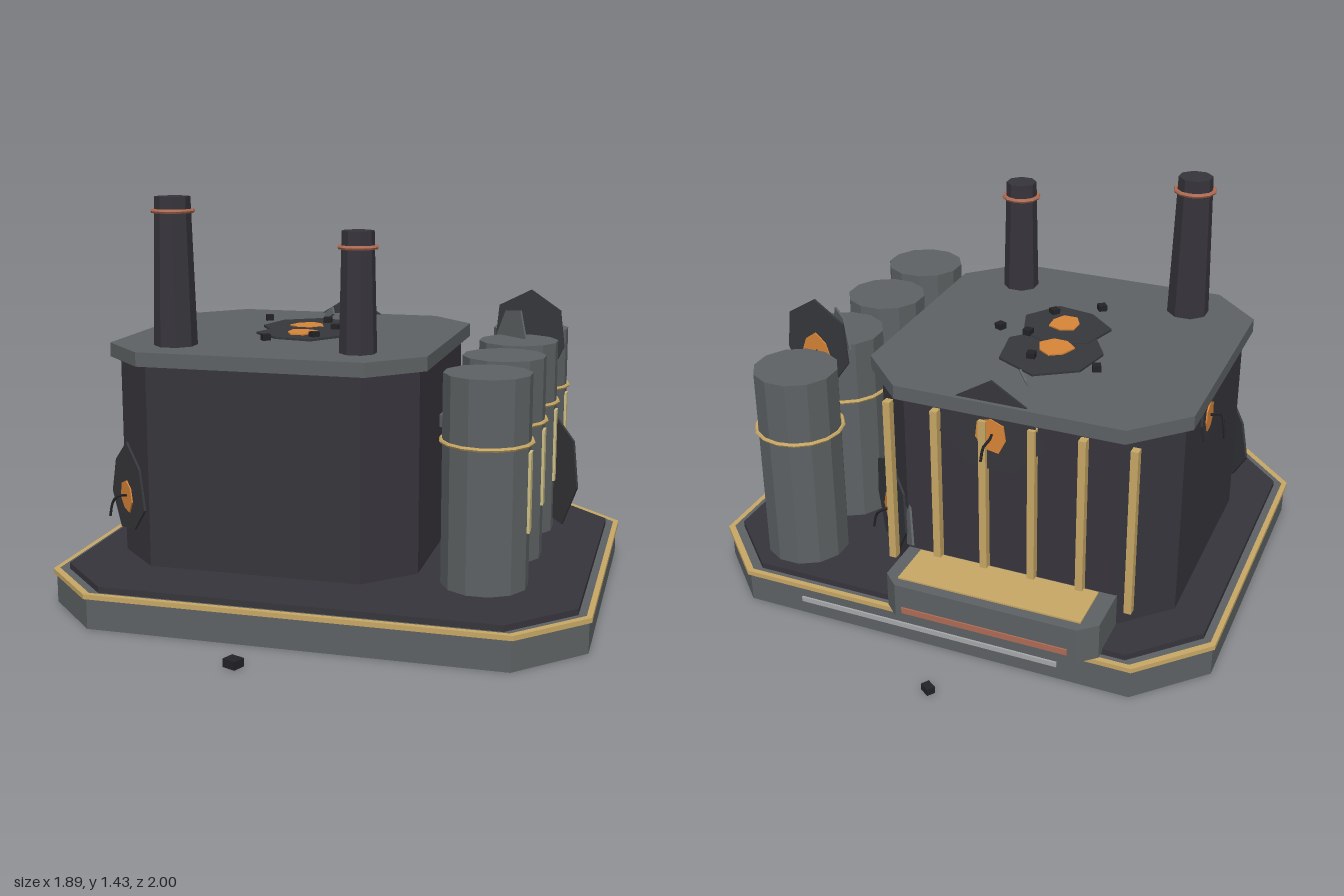
import * as THREE from 'three';

const mat = (name, color, extra = {}) => {
  const m = new THREE.MeshStandardMaterial({ color, ...extra });
  m.name = name;
  return m;
};

export function createModel() {
  const model = new THREE.Group();
  model.name = 'refinery';
  const flat = { flatShading: true };
  const steel = mat('steelGrey', 0x5d6264, flat);
  const dark = mat('darkPlating', 0x37353c, flat);
  const gold = mat('brassGold', 0xc8a865, flat);
  const copper = mat('copper', 0xb06c54, flat);
  const pale = mat('gaugeYellow', 0xcdbd84, flat);
  const light = mat('lightStrip', 0xa6a8aa, flat);
  const scorch = mat('scorchedMetal', 0x37383c, flat);
  const ember = mat('emberOrange', 0xd88538, flat);
  const black = mat('charredBlack', 0x232327, flat);

  const add = (name, geo, material, x = 0, y = 0, z = 0, parent = model) => {
    const m = new THREE.Mesh(geo, material);
    m.name = name;
    m.position.set(x, y, z);
    parent.add(m);
    return m;
  };
  const box = (name, material, w, h, d, x, y, z) => add(name, new THREE.BoxGeometry(w, h, d), material, x, y, z);

  // Upright prism over an outline of [x, z] points
  const outline = (pts) => pts.map(([x, z]) => new THREE.Vector2(x, -z));
  const prism = (name, material, pts, y0, y1, hole) => {
    const shape = new THREE.Shape(outline(pts));
    if (hole) shape.holes.push(new THREE.Path(outline(hole)));
    const geo = new THREE.ExtrudeGeometry(shape, { depth: y1 - y0, bevelEnabled: false });
    return add(name, geo.rotateX(-Math.PI / 2), material, 0, y0, 0);
  };
  // Rectangle with cut corners
  const octagon = (x0, x1, z0, z1, c) => [
    [x0 + c, z0], [x1 - c, z0], [x1, z0 + c], [x1, z1 - c],
    [x1 - c, z1], [x0 + c, z1], [x0, z1 - c], [x0, z0 + c],
  ];

  // Foundation
  prism('foundation', steel, octagon(-0.938, 0.938, -0.755, 0.79, 0.22), 0, 0.118);
  prism('foundationTrim', gold, octagon(-0.947, 0.947, -0.764, 0.799, 0.222), 0.108, 0.125,
    octagon(-0.928, 0.928, -0.745, 0.78, 0.216));
  prism('deck', dark, octagon(-0.9, 0.9, -0.72, 0.755, 0.21), 0.118, 0.14);
  box('rearLightStrip', light, 0.97, 0.018, 0.01, 0.02, 0.06, -0.757);

  // Main hall and roof
  prism('hallWalls', dark, octagon(-0.77, 0.325, -0.58, 0.505, 0.165), 0.14, 0.86);
  prism('roof', steel, octagon(-0.8, 0.355, -0.61, 0.535, 0.173), 0.86, 0.91);
  for (let i = 0; i < 6; i++) box('rearRib', gold, 0.026, 0.62, 0.03, 0.212 - i * 0.174, 0.53, -0.595);

  // Rear loading ledge
  prism('ledge', steel, [[-0.61, -0.55], [-0.61, -0.755], [-0.55, -0.808],
    [0.105, -0.808], [0.16, -0.755], [0.16, -0.55]], 0.13, 0.26);
  box('ledgeTop', gold, 0.66, 0.008, 0.18, -0.22, 0.262, -0.68);
  box('ledgeStripe', copper, 0.6, 0.022, 0.008, -0.22, 0.165, -0.809);

  // Chimneys with copper collars
  for (const [x, top, rt, rb, ringY] of [[-0.555, 1.43, 0.062, 0.077, 1.38], [0.11, 1.325, 0.056, 0.066, 1.27]]) {
    add('chimney', new THREE.CylinderGeometry(rt, rb, top - 0.9, 8).rotateY(Math.PI / 8), dark, x, (top + 0.9) / 2, 0.345);
    add('chimneyCollar', new THREE.TorusGeometry(rt + 0.008, 0.008, 6, 12).rotateX(Math.PI / 2), copper, x, ringY, 0.345);
  }

  // Storage tanks with band and gauge
  for (const z of [-0.57, -0.23, 0.115, 0.46]) {
    add('tank', new THREE.CylinderGeometry(0.147, 0.147, 0.715, 12).rotateY(Math.PI / 12), steel, 0.577, 0.5275, z);
    add('tankBand', new THREE.TorusGeometry(0.152, 0.007, 6, 16).rotateX(Math.PI / 2), gold, 0.577, 0.66, z);
    box('tankGauge', pale, 0.012, 0.27, 0.045, 0.722, 0.497, z + 0.012);
  }

  // Feed pipe between hall and tanks
  const pipe = box('feedPipe', steel, 0.22, 0.045, 0.075, 0.385, 0.61, -0.01);
  pipe.rotation.y = -0.62;

  // Irregular plate used for damage
  const blob = (r, squash, sides, seed, depth) => {
    const pts = [];
    for (let i = 0; i < sides; i++) {
      const a = (i / sides) * Math.PI * 2 + Math.PI / 2;
      const k = r * (0.92 + 0.09 * Math.sin(seed + i * 2.3));
      pts.push(new THREE.Vector2(Math.cos(a) * k * squash, Math.sin(a) * k));
    }
    return new THREE.ExtrudeGeometry(new THREE.Shape(pts), { depth, bevelEnabled: false });
  };
  const damage = (name, pos, angle, r, squash, core, seed, wire = true, up = false) => {
    const g = new THREE.Group();
    g.name = name;
    g.position.set(...pos);
    if (up) g.rotation.x = -Math.PI / 2;
    else g.rotation.y = angle;
    add('scorchPlate', blob(r, squash, 7, seed, 0.008), scorch, 0, 0, 0, g);
    add('emberCore', blob(core, 0.9, 7, seed + 2, 0.007), ember, 0, -0.02, 0.006, g);
    // Torn cable drooping out of the core
    if (wire) {
      const path = new THREE.CatmullRomCurve3([[0, -0.02, 0], [0.012, -0.015, 0.05], [-0.005, -0.04, 0.062], [-0.012, -0.09, 0.07]]
        .map((p) => new THREE.Vector3(...p)));
      add('tornCable', new THREE.TubeGeometry(path, 8, 0.005, 5), black, 0, 0, 0, g);
    }
    model.add(g);
  };
  damage('roofDamageRear', [-0.22, 0.911, -0.175], 0, 0.2, 1, 0.075, 1.2, false, true);
  damage('roofDamageFront', [-0.185, 0.914, 0.02], 0, 0.185, 0.95, 0.068, 4, false, true);
  damage('frontCornerDamage', [-0.715, 0.39, 0.425], -Math.PI / 4, 0.175, 0.95, 0.065, 2, true);
  damage('rearCornerDamage', [0.255, 0.38, -0.51], Math.PI * 0.75, 0.185, 1, 0.075, 0.5, true);
  damage('rearWallDamage', [-0.165, 0.81, -0.588], Math.PI, 0.19, 1, 0.07, 3, true);
  damage('sideWallDamage', [-0.772, 0.79, -0.16], -Math.PI / 2, 0.14, 0.62, 0.055, 5, true);
  damage('tankDamageLow', [0.695, 0.4, -0.27], Math.atan2(0.74, -0.67), 0.225, 0.95, 0.08, 1, true);
  damage('tankDamageHigh', [0.6, 0.88, -0.375], Math.atan2(0.19, -0.98), 0.18, 0.9, 0.075, 0.8, true);

  // Bent shards
  const shard = (w, h, pos, rot) => {
    const s = new THREE.Shape([[-w / 2, 0], [w / 2, 0], [w * 0.3, h], [-w * 0.2, h * 0.9]].map((p) => new THREE.Vector2(...p)));
    const m = add('bentShard', new THREE.ExtrudeGeometry(s, { depth: 0.008, bevelEnabled: false }), steel, ...pos);
    m.rotation.set(...rot);
  };
  shard(0.17, 0.11, [0.54, 0.88, -0.315], [0, -0.72, 0]);
  shard(0.1, 0.04, [-0.215, 0.91, -0.425], [-0.6, -0.85, 0]);
  shard(0.05, 0.16, [0.13, 0.3, -0.62], [0.2, 2.4, 0.3]);

  // Rubble on the roof and on the ground
  const rubble = [[-0.41, -0.265], [-0.17, -0.255], [-0.09, -0.085], [0.02, -0.075], [-0.115, 0.115], [-0.265, 0.215]];
  rubble.forEach(([x, z], i) => {
    box('roofRubble', black, 0.03, 0.022, 0.03, x, 0.929, z).rotation.y = i * 1.3 + 0.4;
  });
  box('groundRubble', black, 0.05, 0.028, 0.045, -0.13, 0.014, 0.967).rotation.y = -0.4;
  box('groundRubble', black, 0.04, 0.025, 0.03, -0.095, 0.0125, -0.978).rotation.y = -0.6;

  return model;
}
